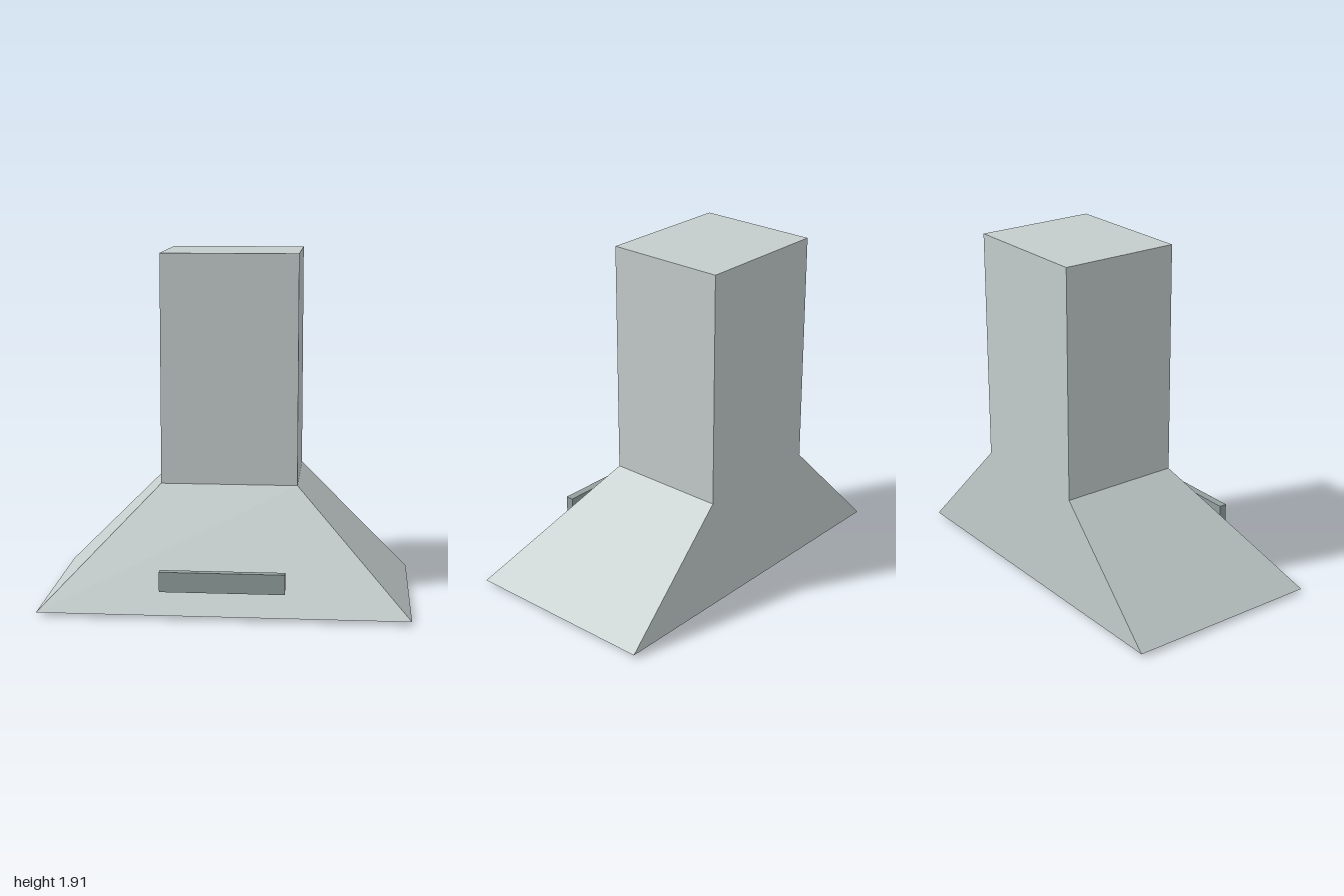
import * as THREE from 'three';

const steel = new THREE.MeshStandardMaterial({ name: 'brushedSteel', color: 0xc4cccc });
const darkSteel = new THREE.MeshStandardMaterial({ name: 'darkSteel', color: 0x929f9d });
const lampGlass = new THREE.MeshStandardMaterial({ name: 'lampCover', color: 0xbfcac6 });

// Box given by its lower and upper corners
function block(name, material, [x0, y0, z0], [x1, y1, z1]) {
  const geometry = new THREE.BoxGeometry(x1 - x0, y1 - y0, z1 - z0);
  const mesh = new THREE.Mesh(geometry, material);
  mesh.position.set((x0 + x1) / 2, (y0 + y1) / 2, (z0 + z1) / 2);
  mesh.name = name;
  return mesh;
}

export function createModel() {
  const group = new THREE.Group();
  group.name = 'cookerHood';

  const back = -0.567;
  const canopyBottom = 0.02, canopyTop = 0.642, canopyFront = 0.543;
  const chimneyHalf = 0.377, chimneyFront = 0.1;

  // Canopy: a box whose upper corners are pulled in to meet the chimney, back kept flush
  const canopy = block('canopy', steel, [-1, canopyBottom, back], [1, canopyTop, canopyFront]);
  const p = canopy.geometry.attributes.position;
  for (let i = 0; i < p.count; i++) {
    if (p.getY(i) < 0) continue;
    p.setX(i, Math.sign(p.getX(i)) * chimneyHalf);
    if (p.getZ(i) > 0) p.setZ(i, chimneyFront - canopy.position.z);
  }
  canopy.geometry.computeVertexNormals();
  group.add(canopy);

  // Chimney
  group.add(block('chimney', steel, [-chimneyHalf, canopyTop, back], [chimneyHalf, 1.91, chimneyFront]));

  // Control panel standing in front of the sloping face
  group.add(block('controlPanel', darkSteel, [-0.333, 0.157, 0.523], [0.333, 0.265, 0.567]));

  // Filter under the canopy, with a square lamp on each side
  group.add(block('filter', darkSteel, [-0.91, 0.01, -0.478], [0.91, canopyBottom, 0.454]));
  for (const [name, x] of [['leftLamp', 0.444], ['rightLamp', -0.444]]) {
    group.add(block(name, lampGlass, [x - 0.111, 0, -0.12], [x + 0.111, 0.01, 0.1]));
  }

  return group;
}
